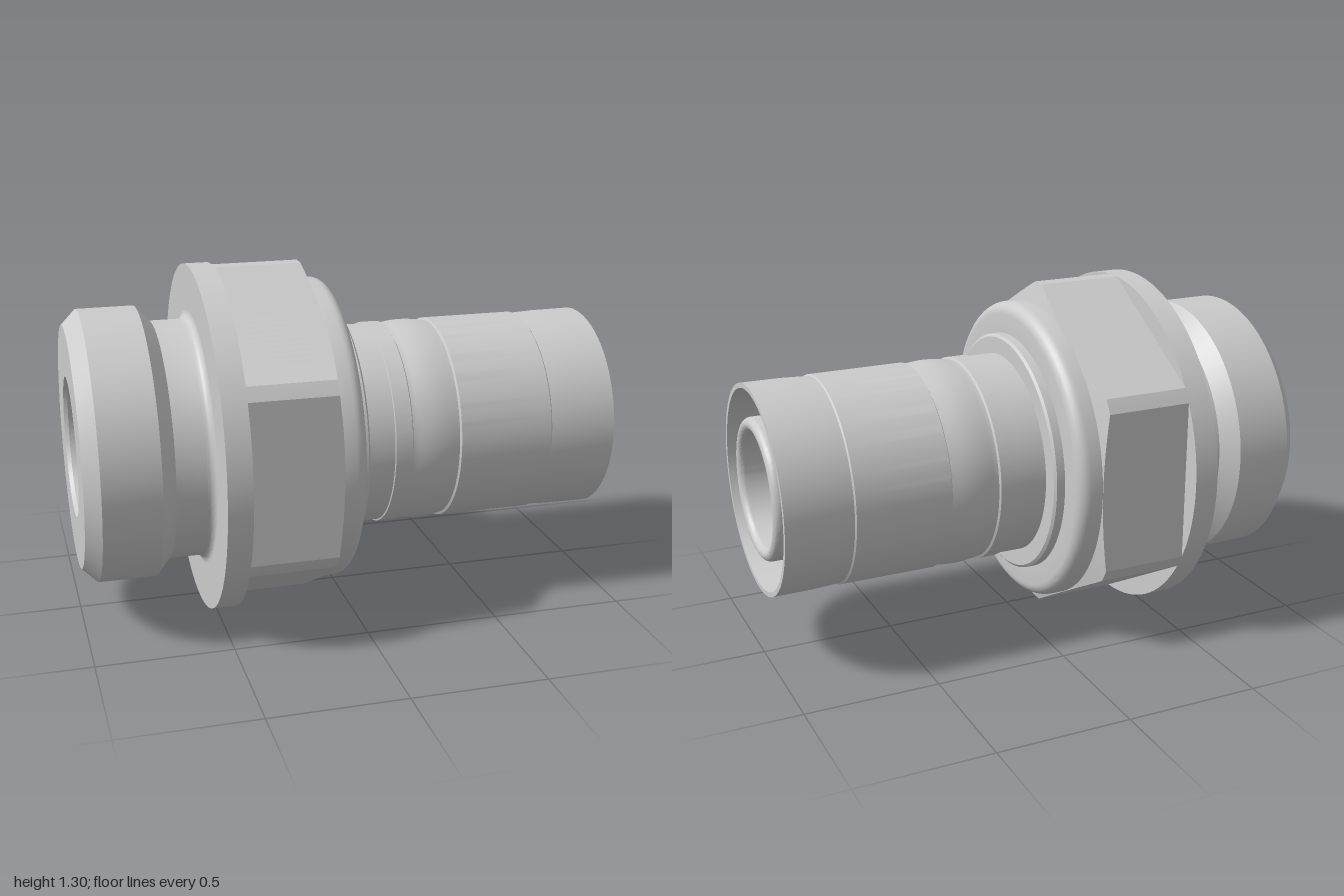
import * as THREE from 'three';
import { toCreasedNormals } from 'three/addons/utils/BufferGeometryUtils.js';

const SEGMENTS = 144;   // 24 per hexagon side
const AXIS_Y = 0.65;
const FLAT = 0.575;     // half the width across the hexagon flats
const CORNER = FLAT / Math.cos(THREE.MathUtils.degToRad(27.5)); // turned-down corners
const material = new THREE.MeshStandardMaterial({ color: 0xcccccc });

// Turn a profile of [x, radius] points around the x axis
function turn(profile, reshape) {
  const points = profile.map(([x, r]) => new THREE.Vector2(r, x));
  const geometry = new THREE.LatheGeometry(points, SEGMENTS);
  if (reshape) reshape(geometry.attributes.position);
  geometry.rotateZ(-Math.PI / 2);
  return toCreasedNormals(geometry, 0.38);
}

// Points of a circular arc in the profile, angles in degrees
function arc(x, r, radius, from, to, steps = 6) {
  return Array.from({ length: steps + 1 }, (_, i) => {
    const a = THREE.MathUtils.degToRad(from + ((to - from) * i) / steps);
    return [x + radius * Math.cos(a), r + radius * Math.sin(a)];
  });
}

// Pull a turned shape in to the hexagon flats and chamfer its far end
function cutHexagon(position) {
  const step = Math.PI / 3;
  for (let i = 0; i < position.count; i++) {
    const x = position.getX(i), y = position.getY(i), z = position.getZ(i);
    const r = Math.hypot(x, z);
    if (r < FLAT + 0.01) continue;
    const phi = Math.atan2(x, z);
    const local = phi - Math.round(phi / step) * step;
    const cut = Math.min(CORNER, FLAT / Math.cos(local));
    const chamfered = -0.11 - ((cut - FLAT) / (CORNER - FLAT)) * 0.02;
    position.setXYZ(i, (x * cut) / r, y > -0.3 ? chamfered : y, (z * cut) / r);
  }
}

export function createModel() {
  const model = new THREE.Group();
  model.name = 'pipeFitting';
  const add = (name, profile, reshape) => {
    const mesh = new THREE.Mesh(turn(profile, reshape), material);
    mesh.name = name;
    mesh.position.y = AXIS_Y;
    model.add(mesh);
  };

  // Chamfered plug end, relief neck and fillet into the flange
  add('plugEnd', [
    [-1, 0.26], [-1, 0.45], [-0.945, 0.505], [-0.735, 0.505], [-0.68, 0.445],
    ...arc(-0.57, 0.475, 0.03, -90, 0),
  ]);

  add('flange', [[-0.54, 0.475], [-0.54, CORNER], [-0.45, CORNER], [-0.45, 0.57]]);

  add('hexagon', [[-0.45, CORNER], [-0.13, CORNER], [-0.11, FLAT - 0.003]], cutHexagon);

  // Rounded collar with a thin washer step
  add('collar', [
    [-0.11, 0.573], ...arc(-0.065, 0.528, 0.045, 90, 0), [-0.02, 0.455],
  ]);
  add('washerStep', [
    [-0.02, 0.455], [0.012, 0.455], [0.02, 0.445], [0.02, 0.38],
  ]);

  // Outer sleeve with shallow bands, a bulge and a tapered mouth
  const bulge = Array.from({ length: 13 }, (_, i) => [
    0.21 + (0.175 * i) / 12, 0.379 + 0.009 * Math.sin((Math.PI * i) / 12),
  ]);
  add('sleeve', [
    [0.02, 0.381], [0.135, 0.381], [0.137, 0.387], [0.2, 0.387], [0.205, 0.379],
    ...bulge, [0.39, 0.388], [0.745, 0.388], [0.75, 0.382], [0.85, 0.387],
    [1, 0.388], [1, 0.37], [0.75, 0.345], [0.4, 0.345], [0.4, 0.263],
  ]);

  // Inner tube with a rounded tip
  add('innerTube', [
    [0.4, 0.263], ...arc(0.974, 0.238, 0.025, 90, -90, 10), [0.4, 0.213],
  ]);

  // Passage through the body, wider at the plug end
  add('bore', [
    [0.4, 0.213], [-0.3, 0.213], [-0.42, 0.25], [-0.985, 0.25], [-1, 0.26],
  ]);

  return model;
}
